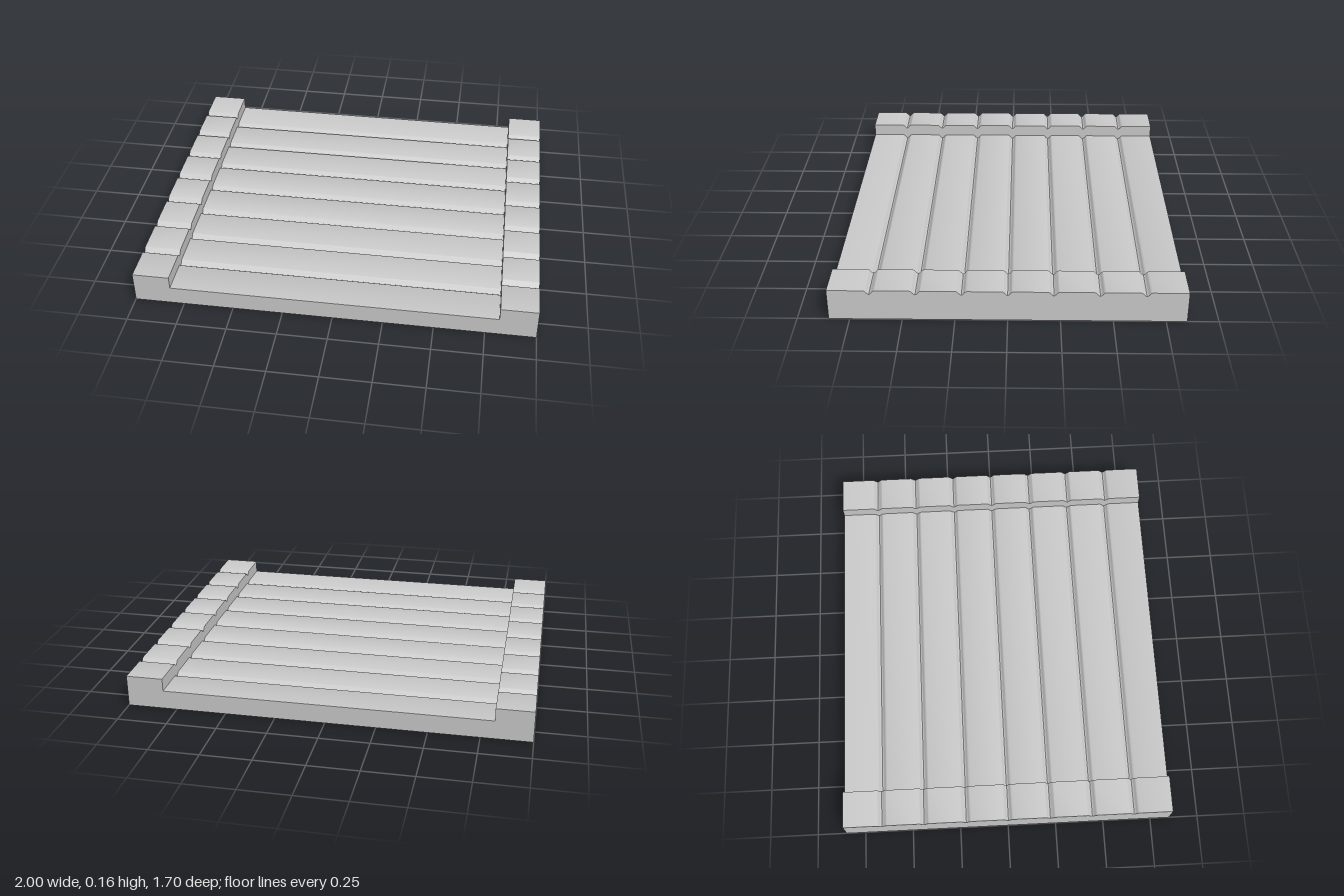
import * as THREE from 'three';
import { toCreasedNormals } from 'three/addons/utils/BufferGeometryUtils.js';

const HALF_DEPTH = 0.85;
const GROOVES = 7, PITCH = 0.217;
const GROOVE_HALF = 0.026, GROOVE_DEPTH = 0.02, STEPS = 10;

// Side profile: flat base, top edge cut by evenly spaced rounded grooves
function groovedProfile(height) {
  const shape = new THREE.Shape();
  shape.moveTo(-HALF_DEPTH, 0);
  shape.lineTo(HALF_DEPTH, 0);
  shape.lineTo(HALF_DEPTH, height);
  for (let i = 0; i < GROOVES; i++) {
    const centre = ((GROOVES - 1) / 2 - i) * PITCH;
    for (let s = 0; s <= STEPS; s++) {
      const t = 1 - (2 * s) / STEPS;
      const dip = GROOVE_DEPTH * 0.5 * (1 + Math.cos(Math.PI * t));
      shape.lineTo(centre + t * GROOVE_HALF, height - dip);
    }
  }
  shape.lineTo(-HALF_DEPTH, height);
  shape.closePath();
  return shape;
}

// Runs the profile across the model from x0 to x1
function groovedSlab(name, height, x0, x1, material) {
  const geometry = new THREE.ExtrudeGeometry(groovedProfile(height), {
    depth: x1 - x0, bevelEnabled: false,
  });
  geometry.rotateY(-Math.PI / 2);
  geometry.translate(x1, 0, 0);
  const mesh = new THREE.Mesh(toCreasedNormals(geometry, 0.7), material);
  mesh.name = name;
  return mesh;
}

export function createModel() {
  const group = new THREE.Group();
  group.name = 'groovedTray';
  const material = new THREE.MeshStandardMaterial({ color: 0xcccccc });

  // Low deck between two raised side rails
  group.add(
    groovedSlab('deck', 0.095, -0.815, 0.815, material),
    groovedSlab('leftRail', 0.16, 0.815, 1, material),
    groovedSlab('rightRail', 0.16, -1, -0.815, material),
  );
  return group;
}
